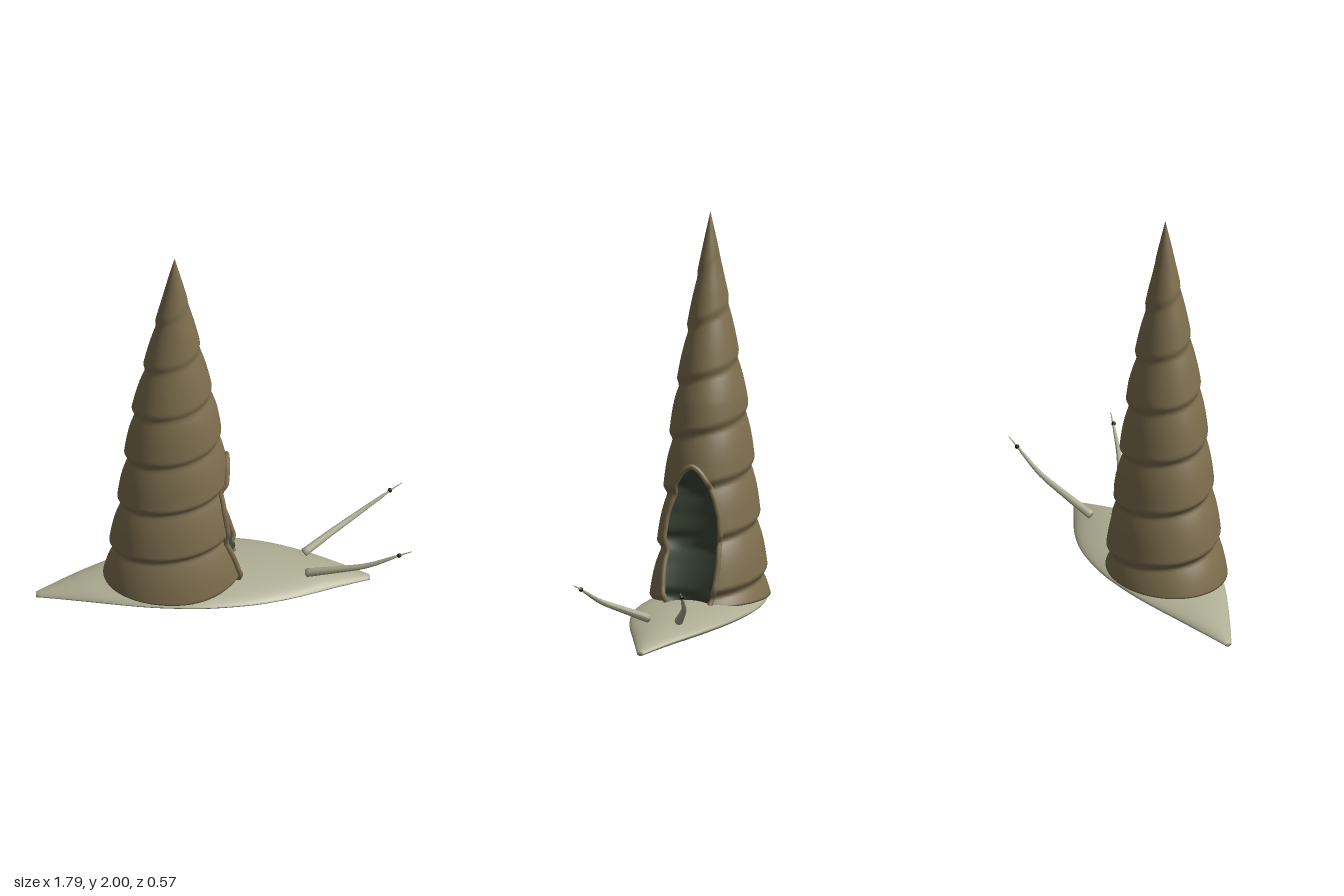
import * as THREE from 'three';

const TAU = Math.PI * 2;
const smooth = THREE.MathUtils.smoothstep;

// Piecewise-linear lookup in [position, value] pairs
function lookup(table, t) {
  if (t <= table[0][0]) return table[0][1];
  for (let i = 1; i < table.length; i++) {
    const [a, va] = table[i - 1], [b, vb] = table[i];
    if (t <= b) return va + (vb - va) * (t - a) / (b - a);
  }
  return table[table.length - 1][1];
}

// Grid surface from point(i, j) -> [x, y, z]
function gridSurface(rows, cols, point) {
  const pos = [], index = [];
  for (let i = 0; i <= rows; i++) for (let j = 0; j <= cols; j++) pos.push(...point(i, j));
  for (let i = 0; i < rows; i++) for (let j = 0; j < cols; j++) {
    const a = i * (cols + 1) + j, b = a + cols + 1;
    index.push(a, a + 1, b, a + 1, b + 1, b);
  }
  const geo = new THREE.BufferGeometry();
  geo.setAttribute('position', new THREE.Float32BufferAttribute(pos, 3));
  geo.setIndex(index);
  geo.computeVertexNormals();
  return geo;
}

function part(name, geo, color, doubleSided = false) {
  const material = new THREE.MeshStandardMaterial({ color });
  if (doubleSided) material.side = THREE.DoubleSide;
  const mesh = new THREE.Mesh(geo, material);
  mesh.name = name;
  return mesh;
}

// Shell: tall elliptical cone with a spiral groove
const AXIS_X = -0.232, BASE = 0.12, TIP = 2.0, PITCH = 0.265, MOUTH_TOP = 0.8;
const radiusX = [[0.12, 0.345], [0.3, 0.316], [0.55, 0.279], [0.82, 0.246], [1.1, 0.208],
  [1.35, 0.155], [1.62, 0.096], [1.85, 0.04], [2, 0.001]];
const mouthWidth = [[0.12, 0.112], [0.2, 0.125], [0.32, 0.135], [0.45, 0.137], [0.55, 0.128],
  [0.64, 0.108], [0.71, 0.08], [0.76, 0.05], [0.785, 0.028], [MOUTH_TOP, 0]];

function shellPoint(y, a, grow = 0) {
  const turn = (y - 0.27) / PITCH - (a - Math.PI) / TAU;
  const u = turn - Math.floor(turn);
  const notch = u < 0.18 ? 1 - smooth(u, 0, 0.18) : Math.pow((u - 0.18) / 0.82, 3);
  const r = lookup(radiusX, y) * (1 - 0.1 * notch * (1 - smooth(y, 1.6, 1.9))) + grow;
  return [AXIS_X + r * Math.cos(a), y, -r * 0.83 * Math.sin(a)];
}

// Half angle of the mouth opening at height y
function mouthAngle(y) {
  if (y >= MOUTH_TOP) return 0;
  return Math.asin(lookup(mouthWidth, y) / (lookup(radiusX, y) * 0.8));
}

function shellGeometry() {
  const heights = [BASE];
  for (let i = 0; i <= 80; i++) heights.push(BASE + (MOUTH_TOP - BASE) * i / 80);
  for (let i = 1; i <= 110; i++) heights.push(MOUTH_TOP + (TIP - MOUTH_TOP) * i / 110);
  return gridSurface(heights.length - 1, 96, (i, j) => {
    const y = heights[i], w = mouthAngle(y);
    if (i === 0) return [AXIS_X, BASE, 0]; // closes the base
    return shellPoint(y, w + (TAU - 2 * w) * j / 96);
  });
}

// Dark hollow face set between the mouth edges
function mouthGeometry() {
  return gridSurface(48, 16, (i, j) => {
    const y = BASE + (MOUTH_TOP - BASE) * i / 48, w = mouthAngle(y);
    const s = j / 16, a = shellPoint(y, w), b = shellPoint(y, -w);
    const depth = 0.3 * lookup(mouthWidth, y) * 4 * s * (1 - s);
    return [a[0] + (b[0] - a[0]) * s - depth, y, b[2] + (a[2] - b[2]) * s];
  });
}

// Rim following both edges of the mouth
function lipGeometry() {
  const pts = [];
  for (let k = -30; k <= 30; k++) {
    const t = Math.abs(k) / 30;
    const y = BASE + (MOUTH_TOP - BASE) * (1 - t * t);
    pts.push(new THREE.Vector3(...shellPoint(y, Math.sign(k) * mouthAngle(y), 0.005)));
  }
  return new THREE.TubeGeometry(new THREE.CatmullRomCurve3(pts), 120, 0.013, 8);
}

// Foot: long pointed lens with a rounded edge
const footPlan = [[-0.9, 0.018], [-0.7, 0.108], [-0.5, 0.19], [-0.35, 0.238], [-0.2, 0.267], [-0.07, 0.277],
  [0.1, 0.265], [0.25, 0.23], [0.4, 0.172], [0.55, 0.098], [0.71, 0.018]];
function footGeometry() {
  const rows = 60, cols = 32;
  const curve = new THREE.SplineCurve(footPlan.map(p => new THREE.Vector2(...p)));
  return gridSurface(rows + 2, cols, (i, j) => {
    const p = curve.getPoint(Math.min(Math.max((i - 1) / rows, 0), 1));
    const x = p.x, c = (x + 0.095) / 0.805, arch = 1 - c * c;
    const low = 0.003 + 0.024 * arch;
    const edge = low + 0.012 + 0.05 * arch;
    const top = 0.026 + lookup([[0, 0], [0.5, 0.068], [1, 0.119]], arch);
    if (i === 0 || i === rows + 2) return [x, edge, 0]; // end caps
    const a = -j / cols * TAU, s = Math.sin(a);
    const rise = Math.sign(s) * Math.pow(Math.abs(s), 1.25);
    return [x, edge + rise * (s > 0 ? top - edge : edge - low), p.y * Math.cos(a)];
  });
}

// Tapered feeler with a closed root
function tentacleGeometry(side) {
  const path = new THREE.CatmullRomCurve3([[0.4, 0.122, 0.08], [0.54, 0.185, 0.15], [0.68, 0.248, 0.213],
    [0.83, 0.333, 0.258], [0.89, 0.365, 0.275]].map(([x, y, z]) => new THREE.Vector3(x, y, z * side)));
  const radii = [[0, 0.021], [0.55, 0.013], [0.8, 0.008], [0.9, 0.004], [1, 0.002]];
  const up = new THREE.Vector3(0, 1, 0);
  return gridSurface(27, 12, (i, j) => {
    const t = Math.min(Math.max(i - 1, 0) / 25, 1);
    const p = path.getPointAt(t), dir = path.getTangentAt(t);
    const r = i === 0 || i === 27 ? 0 : lookup(radii, t), a = j / 12 * TAU;
    const u = new THREE.Vector3().crossVectors(up, dir).normalize();
    const v = new THREE.Vector3().crossVectors(dir, u);
    return p.addScaledVector(u, r * Math.cos(a)).addScaledVector(v, r * Math.sin(a)).toArray();
  });
}

export function createModel() {
  const model = new THREE.Group();
  model.name = 'snail';
  const shellColor = 0x7d6e4e, bodyColor = 0xaeae94;
  model.add(
    part('shell', shellGeometry(), shellColor, true),
    part('shellLip', lipGeometry(), shellColor),
    part('shellMouth', mouthGeometry(), 0x3a4436, true),
    part('foot', footGeometry(), bodyColor, true),
  );
  for (const side of [1, -1]) {
    const name = side > 0 ? 'front' : 'back';
    const eye = part(name + 'Eye', new THREE.SphereGeometry(0.011, 12, 8), 0x111111);
    eye.position.set(0.83, 0.334, 0.26 * side);
    model.add(part(name + 'Tentacle', tentacleGeometry(side), bodyColor, true), eye);
  }
  return model;
}
